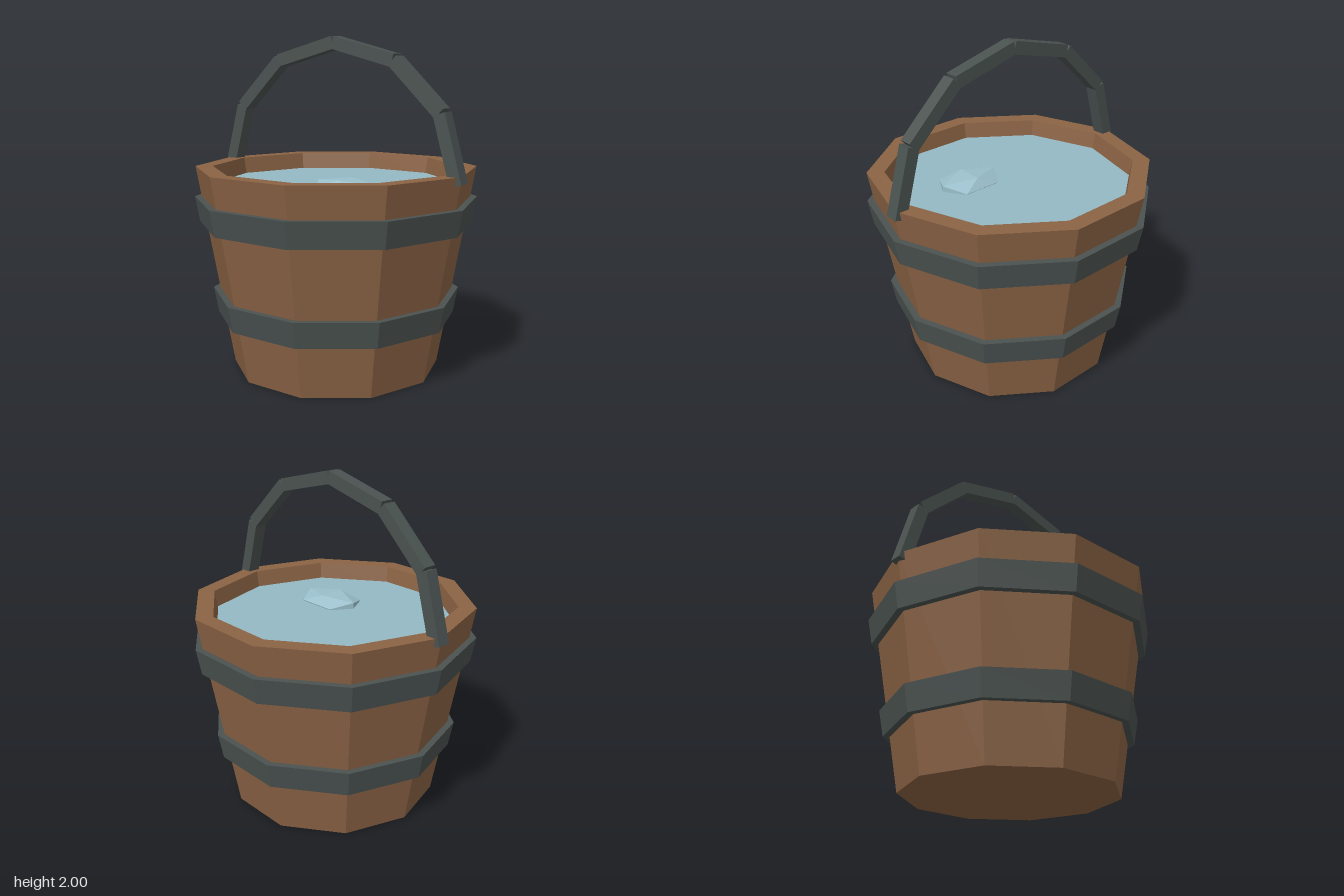
import * as THREE from 'three';

const SIDES = 10;

// Ten-sided solid of revolution with a corner on the x axis
function ring(name, profile, material) {
  const points = profile.map(([r, y]) => new THREE.Vector2(r, y));
  const geometry = new THREE.LatheGeometry(points, SIDES, Math.PI / 2).toNonIndexed();
  geometry.computeVertexNormals();
  const mesh = new THREE.Mesh(geometry, material);
  mesh.name = name;
  return mesh;
}

export function createModel() {
  const mat = (name, color) => {
    const m = new THREE.MeshStandardMaterial({ color, flatShading: true });
    m.name = name;
    return m;
  };
  const wood = mat('wood', 0x8b6344);
  const iron = mat('dark iron', 0x4a5250);
  const waterBlue = mat('water blue', 0x94b9c4);
  const paleBlue = mat('pale blue', 0x9abfcb);

  const model = new THREE.Group();
  model.name = 'waterBucket';

  // Wooden tub: floor, flared outer wall, rim and inner wall
  model.add(ring('tub', [[0, 0], [0.632, 0], [0.85, 1.23], [0.745, 1.23], [0.725, 1.11]], wood));

  // Two iron bands that follow the flare
  const band = (name, y0, r0, y1, r1) => model.add(ring(name,
    [[r0, y0], [r1, y1], [r1 - 0.06, y1], [r0 - 0.06, y0], [r0, y0]], iron));
  band('lowerBand', 0.32, 0.728, 0.475, 0.757);
  band('upperBand', 0.89, 0.83, 1.045, 0.859);

  // Water surface
  const water = new THREE.Mesh(new THREE.CircleGeometry(0.735, SIDES), waterBlue);
  water.name = 'water';
  water.rotation.x = -Math.PI / 2;
  water.position.y = 1.13;
  model.add(water);

  // Flattened floating lump
  const lumpGeometry = new THREE.IcosahedronGeometry(0.235, 0).rotateY(Math.PI / 2).scale(1, 0.25, 0.65);
  const lump = new THREE.Mesh(lumpGeometry, paleBlue);
  lump.name = 'floatingLump';
  lump.position.set(0.19, 1.135, 0.16);
  model.add(lump);

  // Handle: six straight bars along half an ellipse
  const handle = new THREE.Group();
  handle.name = 'handle';
  const joint = (i) => {
    const a = (i * Math.PI) / 6;
    return new THREE.Vector2(0.83 * Math.cos(a), 1.18 + 0.783 * Math.sin(a));
  };
  for (let i = 0; i < 6; i++) {
    const a = joint(i), b = joint(i + 1);
    const bar = new THREE.Mesh(new THREE.BoxGeometry(a.distanceTo(b), 0.076, 0.08), iron);
    bar.name = 'handleBar';
    bar.position.set((a.x + b.x) / 2, (a.y + b.y) / 2, 0);
    bar.rotation.z = Math.atan2(b.y - a.y, b.x - a.x);
    handle.add(bar);
  }
  model.add(handle);

  return model;
}
